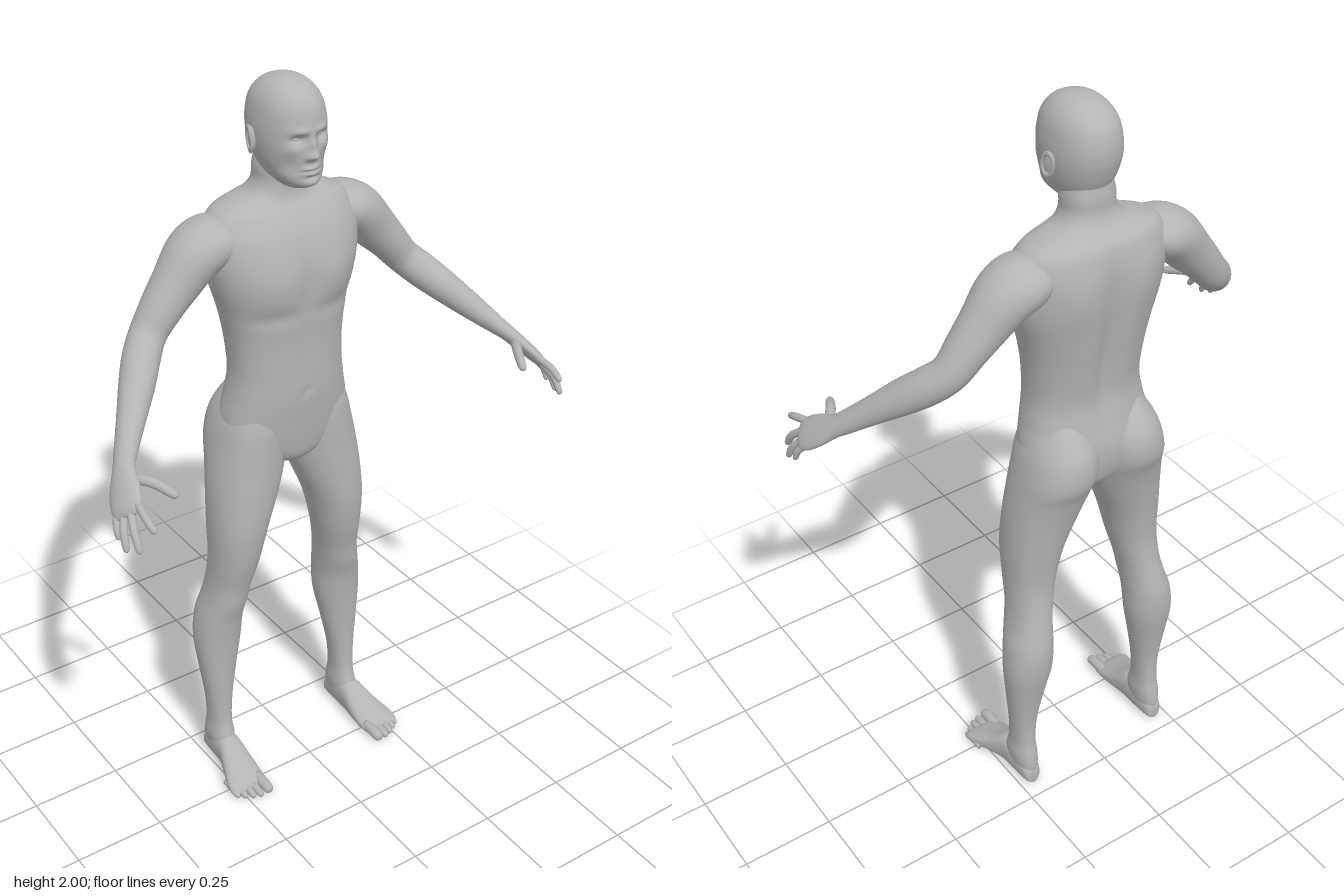
import * as THREE from 'three';

const skin = new THREE.MeshStandardMaterial({ color: 0xb4b4b4 });
skin.name = 'grey skin';

// Smoothly subdivide a list of numeric rows (Catmull-Rom through every row)
function smoothRows(rows, k) {
  const out = [], last = rows.length - 1;
  const at = (i) => rows[Math.max(0, Math.min(last, i))];
  for (let i = 0; i < last; i++) {
    for (let j = 0; j < k; j++) {
      const t = j / k, t2 = t * t, t3 = t2 * t;
      out.push(rows[i].map((b, c) => {
        const a = at(i - 1)[c], d = at(i + 1)[c], e = at(i + 2)[c];
        return 0.5 * (2 * b + (d - a) * t + (2 * a - 5 * b + 4 * d - e) * t2 + (3 * b - a - 3 * d + e) * t3);
      }));
    }
  }
  out.push(rows[last]);
  return out;
}

// Unit superellipse point
function oval(i, seg, p) {
  const a = (i / seg) * Math.PI * 2, c = Math.cos(a), s = Math.sin(a);
  return [Math.sign(c) * Math.abs(c) ** (2 / p), Math.sign(s) * Math.abs(s) ** (2 / p)];
}

// Skin a stack of closed rings, cap both ends and face the triangles outward
function loft(rings) {
  const seg = rings[0].length, n = rings.length, pts = rings.flat(), idx = [];
  for (let r = 0; r < n - 1; r++) {
    for (let i = 0; i < seg; i++) {
      const a = r * seg + i, b = r * seg + (i + 1) % seg;
      idx.push(a, b, b + seg, a, b + seg, a + seg);
    }
  }
  [0, n - 1].forEach((r) => {
    const mid = new THREE.Vector3();
    rings[r].forEach((p) => mid.addScaledVector(p, 1 / seg));
    const m = pts.push(mid) - 1;
    for (let i = 0; i < seg; i++) {
      const a = r * seg + i, b = r * seg + (i + 1) % seg;
      if (r === 0) idx.push(m, b, a); else idx.push(m, a, b);
    }
  });
  let volume = 0;
  const cross = new THREE.Vector3();
  for (let i = 0; i < idx.length; i += 3) {
    volume += pts[idx[i]].dot(cross.crossVectors(pts[idx[i + 1]], pts[idx[i + 2]]));
  }
  if (volume < 0) idx.reverse();
  const g = new THREE.BufferGeometry().setFromPoints(pts);
  g.setIndex(idx);
  g.computeVertexNormals();
  return g;
}

// Upright body form, rows: [y, xInner, xOuter, zFront, zBack]
function upright(rows, { side = 1, k = 6, seg = 64, p = 2.2, shape } = {}) {
  return loft(smoothRows(rows, k).map(([y, x0, x1, zf, zb]) =>
    Array.from({ length: seg }, (_, i) => {
      const [c, s] = oval(i, seg, p);
      const v = new THREE.Vector3((x0 + x1) / 2 + c * (x1 - x0) / 2, y, (zf + zb) / 2 + s * (zf - zb) / 2);
      if (shape) v.z += shape(v, s);
      v.x *= side;
      return v;
    })));
}

// Limb along a path, rows: [x, y, z, thickness radius, width radius]
function limb(rows, side, k = 6, seg = 32) {
  const fine = smoothRows(rows, k);
  const pos = fine.map((r) => new THREE.Vector3(r[0], r[1], r[2]));
  return loft(fine.map((r, j) => {
    const t = pos[Math.min(j + 1, pos.length - 1)].clone().sub(pos[Math.max(j - 1, 0)]).normalize();
    const n = new THREE.Vector3(1, 1, 0).normalize();
    n.addScaledVector(t, -n.dot(t)).normalize();
    const b = t.clone().cross(n);
    return Array.from({ length: seg }, (_, i) => {
      const [c, s] = oval(i, seg, 2);
      const v = pos[j].clone().addScaledVector(n, c * r[3]).addScaledVector(b, s * r[4]);
      v.x *= side;
      return v;
    });
  }));
}

// Round-ended finger or toe through a base, joint and tip
function digit(base, joint, tip, r, side) {
  const near = joint.map((v, i) => v + (tip[i] - v) * 0.82);
  return limb([[...base, r, r], [...joint, r, r], [...near, r * 0.82, r * 0.82], [...tip, r * 0.2, r * 0.2]], side, 5, 16);
}

const bump = (v, x, y, sx, sy) => Math.exp(-(((Math.abs(v.x) - x) / sx) ** 2) - ((v.y - y) / sy) ** 2);
const wide = ([y, w, zf, zb]) => [y, -w, w, zf, zb];

// Chest, belly and back relief
function torsoShape(v, s) {
  if (s > 0) {
    return Math.min(1, s * 2) * (0.008 * bump(v, 0.09, 1.5, 0.06, 0.06) - 0.007 * bump(v, 0, 1.5, 0.02, 0.1)
      - 0.006 * bump(v, 0.09, 1.42, 0.07, 0.02) - 0.004 * bump(v, 0, 1.3, 0.012, 0.12)
      - 0.006 * bump(v, 0, 1.195, 0.008, 0.01));
  }
  return Math.min(1, -s * 2) * (0.02 * bump(v, 0, 1.4, 0.03, 0.2) - 0.008 * bump(v, 0.1, 1.56, 0.05, 0.07));
}

// Nose, brow, eye sockets, lips and chin
function faceShape(v, s) {
  if (s <= 0) return 0;
  return Math.min(1, s * 2) * (0.013 * bump(v, 0, 1.86, 0.009, 0.02) + 0.022 * bump(v, 0, 1.836, 0.012, 0.011)
    + 0.008 * bump(v, 0.013, 1.832, 0.006, 0.007) + 0.006 * bump(v, 0.028, 1.895, 0.022, 0.009)
    - 0.014 * bump(v, 0.032, 1.875, 0.016, 0.011) + 0.004 * bump(v, 0.05, 1.85, 0.018, 0.014)
    - 0.006 * bump(v, 0.05, 1.81, 0.018, 0.02) + 0.008 * bump(v, 0, 1.804, 0.021, 0.005)
    + 0.008 * bump(v, 0, 1.791, 0.018, 0.005) - 0.003 * bump(v, 0, 1.7975, 0.025, 0.002)
    - 0.004 * bump(v, 0, 1.78, 0.02, 0.005) + 0.005 * bump(v, 0, 1.766, 0.02, 0.01));
}

export function createModel() {
  const model = new THREE.Group();
  model.name = 'standing figure';
  const add = (name, geometry, parent = model) => {
    const m = new THREE.Mesh(geometry, skin);
    m.name = name;
    parent.add(m);
    return m;
  };

  add('torso', upright([
    [1.83, 0.05, -0.08, -0.18], [1.78, 0.064, -0.072, -0.188], [1.74, 0.068, -0.074, -0.19],
    [1.712, 0.09, -0.072, -0.203], [1.693, 0.14, -0.065, -0.22], [1.67, 0.185, -0.048, -0.237],
    [1.62, 0.208, -0.02, -0.248], [1.56, 0.207, -0.002, -0.25], [1.5, 0.197, 0.002, -0.247],
    [1.42, 0.174, -0.003, -0.238], [1.34, 0.16, -0.009, -0.226], [1.25, 0.155, -0.009, -0.216],
    [1.18, 0.165, -0.01, -0.225], [1.11, 0.18, -0.018, -0.238], [1.05, 0.17, -0.026, -0.235],
    [1.0, 0.11, -0.036, -0.22], [0.972, 0.05, -0.06, -0.19], [0.96, 0.01, -0.1, -0.15],
  ].map(wide), { p: 2.3, seg: 96, shape: torsoShape }));

  add('head', upright([
    [2.0, 0.004, -0.092, -0.1], [1.995, 0.03, -0.06, -0.135], [1.98, 0.055, -0.026, -0.168],
    [1.95, 0.075, 0, -0.196], [1.91, 0.084, 0.011, -0.208], [1.87, 0.086, 0.012, -0.207],
    [1.83, 0.081, 0.011, -0.196], [1.8, 0.073, 0.011, -0.182], [1.775, 0.061, 0.012, -0.165],
    [1.758, 0.046, 0.006, -0.145], [1.745, 0.032, -0.02, -0.12], [1.735, 0.01, -0.06, -0.08],
  ].map(wide), { k: 10, seg: 128, shape: faceShape }));

  for (const [label, side] of [['left', 1], ['right', -1]]) {
    // Eye and ear
    add(label + 'Eye', new THREE.SphereGeometry(0.014, 20, 14)).position.set(side * 0.032, 1.875, -0.019);
    const ear = new THREE.Group();
    ear.name = label + 'Ear';
    ear.position.set(side * 0.089, 1.858, -0.108);
    ear.rotation.set(-0.15, side * 0.25, 0);
    model.add(ear);
    add('earBody', new THREE.SphereGeometry(1, 20, 14), ear).scale.set(0.008, 0.03, 0.017);
    const rim = add('earRim', new THREE.TorusGeometry(0.016, 0.004, 8, 28), ear);
    rim.rotation.y = Math.PI / 2;
    rim.scale.set(1, 1.75, 1);
    rim.position.x = side * 0.006;

    // Leg with buttock, knee and calf
    add(label + 'Leg', upright([
      [1.2, 0.06, 0.13, -0.06, -0.2], [1.15, 0.022, 0.165, -0.04, -0.237], [1.1, 0.006, 0.187, -0.03, -0.262],
      [1.04, 0.006, 0.202, -0.028, -0.265], [0.98, 0.013, 0.213, -0.028, -0.243], [0.9, 0.037, 0.223, -0.027, -0.222],
      [0.8, 0.075, 0.229, -0.028, -0.205], [0.7, 0.1, 0.228, -0.042, -0.196], [0.62, 0.118, 0.231, -0.062, -0.204],
      [0.56, 0.127, 0.241, -0.072, -0.216], [0.5, 0.132, 0.257, -0.088, -0.227], [0.42, 0.136, 0.265, -0.099, -0.225],
      [0.32, 0.155, 0.257, -0.105, -0.206], [0.22, 0.173, 0.246, -0.107, -0.191], [0.14, 0.18, 0.242, -0.104, -0.191],
      [0.09, 0.177, 0.246, -0.092, -0.2], [0.05, 0.181, 0.242, -0.09, -0.204], [0.02, 0.19, 0.235, -0.1, -0.195],
    ], { side }));

    // Foot, rows: [z, xInner, xOuter, height]
    const foot = smoothRows([
      [-0.206, 0.2, 0.225, 0.035], [-0.194, 0.187, 0.237, 0.06], [-0.14, 0.179, 0.245, 0.092],
      [-0.09, 0.177, 0.25, 0.096], [-0.04, 0.173, 0.266, 0.066], [0, 0.172, 0.28, 0.046],
      [0.03, 0.176, 0.284, 0.032], [0.045, 0.184, 0.276, 0.02],
    ], 6);
    add(label + 'Foot', loft(foot.map(([z, x0, x1, h]) => Array.from({ length: 40 }, (_, i) => {
      const [c, s] = oval(i, 40, 2.4);
      return new THREE.Vector3(side * ((x0 + x1) / 2 + c * (x1 - x0) / 2), h * (0.5 + s / 2), z);
    }))));
    [[0.191, 0.084, 0.015], [0.217, 0.082, 0.0105], [0.237, 0.075, 0.01], [0.256, 0.063, 0.0095], [0.272, 0.05, 0.009]]
      .forEach(([x, z, r], i) => add(label + 'Toe' + (i + 1),
        digit([x, r + 0.006, z - 0.07], [x, r + 0.005, z - 0.028], [x, r, z], r, side)));

    // Arm from shoulder to palm
    add(label + 'Arm', limb([
      [0.12, 1.62, -0.145, 0.035, 0.055], [0.18, 1.615, -0.145, 0.06, 0.083], [0.235, 1.59, -0.143, 0.066, 0.08],
      [0.29, 1.53, -0.14, 0.06, 0.063], [0.335, 1.48, -0.136, 0.052, 0.055], [0.38, 1.425, -0.128, 0.046, 0.047],
      [0.42, 1.385, -0.095, 0.046, 0.047], [0.46, 1.345, -0.05, 0.042, 0.045], [0.51, 1.295, 0.005, 0.034, 0.036],
      [0.555, 1.25, 0.055, 0.025, 0.031], [0.575, 1.23, 0.08, 0.021, 0.03], [0.595, 1.205, 0.115, 0.019, 0.041],
      [0.61, 1.185, 0.145, 0.017, 0.045], [0.62, 1.17, 0.168, 0.013, 0.04], [0.625, 1.163, 0.178, 0.005, 0.028],
    ], side));

    // Fingers and thumb
    const fingers = {
      Thumb: [[0.582, 1.216, 0.105], [0.545, 1.217, 0.16], [0.515, 1.2, 0.22], 0.0125],
      IndexFinger: [[0.598, 1.193, 0.175], [0.605, 1.18, 0.225], [0.604, 1.16, 0.267], 0.0098],
      MiddleFinger: [[0.61, 1.182, 0.165], [0.628, 1.145, 0.21], [0.632, 1.1, 0.242], 0.01],
      RingFinger: [[0.618, 1.173, 0.15], [0.641, 1.132, 0.185], [0.648, 1.09, 0.207], 0.0096],
      LittleFinger: [[0.624, 1.166, 0.13], [0.643, 1.138, 0.155], [0.648, 1.105, 0.17], 0.0086],
    };
    for (const [name, [base, joint, tip, r]] of Object.entries(fingers)) {
      add(label + name, digit(base, joint, tip, r, side));
    }
  }
  return model;
}
